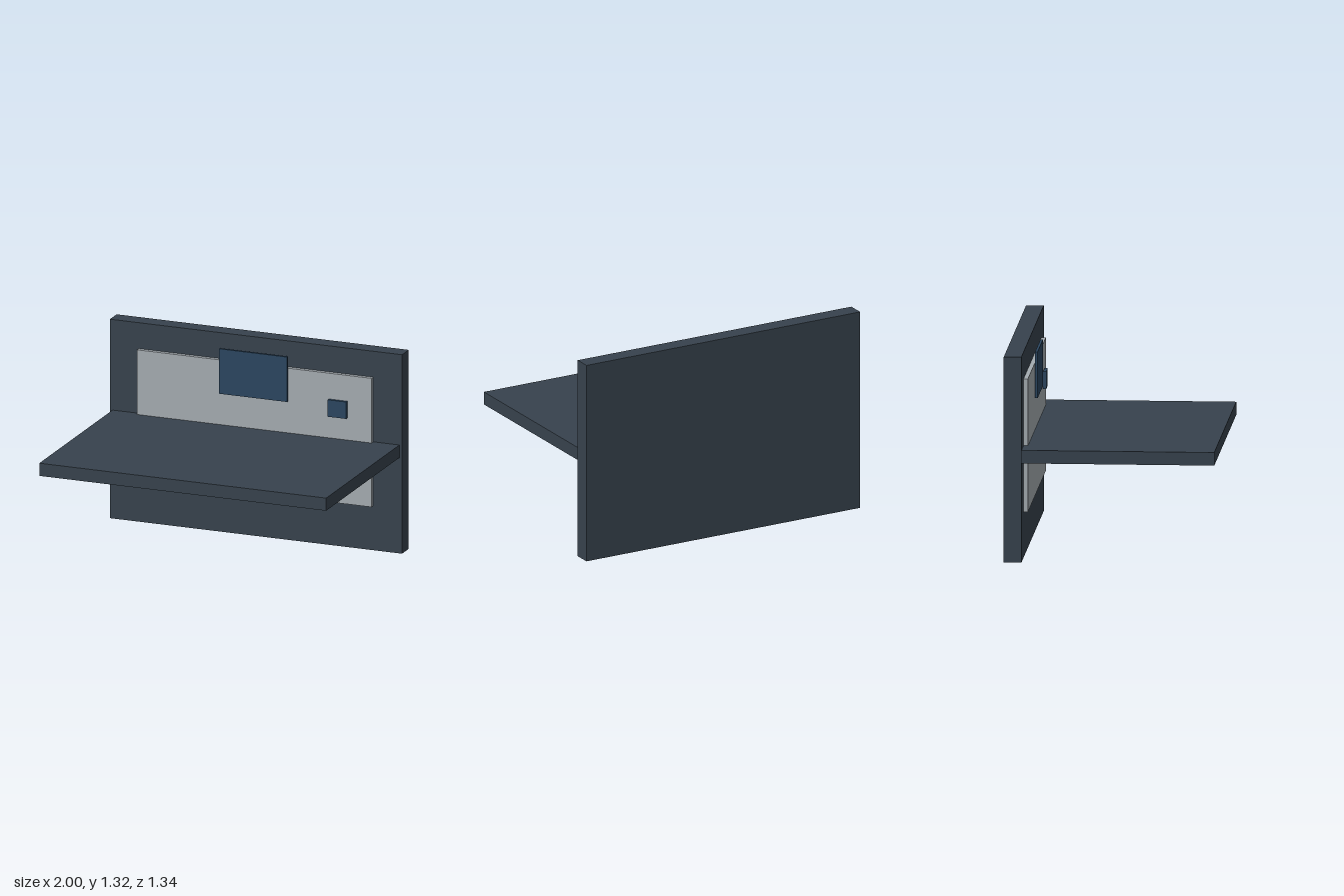
import * as THREE from 'three';

export function createModel() {
  const group = new THREE.Group();
  const material = (color) => new THREE.MeshStandardMaterial({ color });
  const slate = material(0x37424d);
  const pale = material(0xa4abb0);
  const navy = material(0x2b4660);
  const cyan = material(0x1f9db3);

  // Box spanning [min, max] along each axis
  function slab(name, mat, [x0, x1], [y0, y1], [z0, z1]) {
    const mesh = new THREE.Mesh(new THREE.BoxGeometry(x1 - x0, y1 - y0, z1 - z0), mat);
    mesh.name = name;
    mesh.position.set((x0 + x1) / 2, (y0 + y1) / 2, (z0 + z1) / 2);
    group.add(mesh);
  }

  // Upright wall and the pale board fixed to its front
  slab('backWall', slate, [-1, 1], [0, 1.32], [-0.668, -0.556]);
  slab('wallBoard', pale, [-0.803, 0.803], [0.294, 1.148], [-0.556, -0.528]);

  // Display and small control panel, standing just off the board
  slab('display', navy, [-0.233, 0.233], [0.93, 1.228], [-0.523, -0.507]);
  slab('controlPanel', navy, [0.512, 0.638], [0.866, 0.978], [-0.525, -0.505]);

  // Horizontal canopy with a stepped light panel underneath
  slab('canopy', slate, [-0.982, 0.982], [0.635, 0.719], [-0.556, 0.668]);
  slab('lightFrame', navy, [-0.865, 0.865], [0.622, 0.635], [-0.46, 0.55]);
  slab('lightPanel', cyan, [-0.68, 0.68], [0.613, 0.622], [-0.295, 0.384]);

  return group;
}
